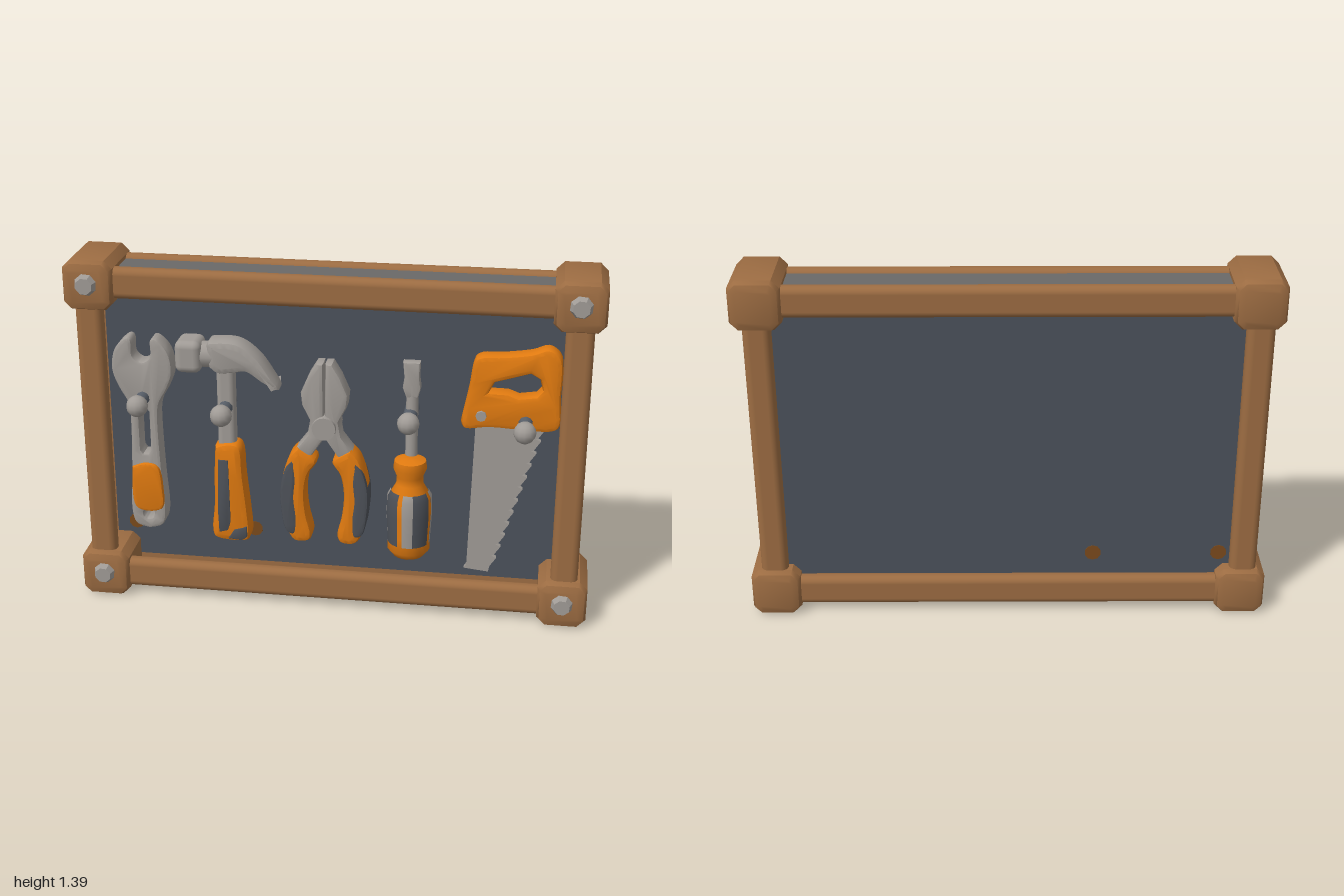
import * as THREE from 'three';
import { toCreasedNormals } from 'three/addons/utils/BufferGeometryUtils.js';
import { RoundedBoxGeometry } from 'three/addons/geometries/RoundedBoxGeometry.js';

const mat = (name, color) => {
  const m = new THREE.MeshStandardMaterial({ color });
  m.name = name;
  return m;
};

export function createModel() {
  const wood = mat('wood', 0x9c6c42);
  const slate = mat('slate panel', 0x4b515b);
  const steel = mat('steel', 0xa09b96);
  const orange = mat('orange grip', 0xe07a10);
  const rubber = mat('grey rubber', 0x4d5158);
  const pegGrey = mat('peg grey', 0x59606a);
  const plateGrey = mat('plate grey', 0x6a6968);
  const spotBrown = mat('brown spot', 0x7a4a1c);

  const root = new THREE.Group();
  root.name = 'toolBoard';
  const board = new THREE.Group();
  board.name = 'board';
  board.rotation.y = -0.025;
  root.add(board);

  const group = (name) => {
    const g = new THREE.Group();
    g.name = name;
    board.add(g);
    return g;
  };
  const add = (parent, name, geo, material, x = 0, y = 0, z = 0) => {
    const m = new THREE.Mesh(geo, material);
    m.name = name;
    m.position.set(x, y, z);
    parent.add(m);
    return m;
  };
  const vecs = (pts) => pts.map(([x, y]) => new THREE.Vector2(x, y));
  const poly = (pts) => new THREE.Shape(vecs(pts));
  const smooth = (pts, n = 40) =>
    new THREE.Shape(new THREE.SplineCurve(vecs([...pts, pts[0]])).getPoints(n).slice(0, -1));
  // bevelled plate that keeps its outline and is centred on z
  const plate = (shape, depth, bevel = 0.015) => {
    const g = new THREE.ExtrudeGeometry(shape, {
      depth: depth - 2 * bevel, bevelEnabled: bevel > 0, bevelThickness: bevel,
      bevelSize: bevel, bevelOffset: -bevel, bevelSegments: 2, curveSegments: 12,
    });
    g.translate(0, 0, bevel - depth / 2);
    return toCreasedNormals(g, 0.75);
  };
  const cyl = (r0, r1, h, n = 16) => new THREE.CylinderGeometry(r0, r1, h, n).rotateX(Math.PI / 2);

  // Frame: two rectangles of rails joined by deep corner blocks
  const frame = group('frame');
  for (const z of [0.053, -0.13]) {
    for (const y of [0.09, 1.3]) add(frame, 'rail', new RoundedBoxGeometry(1.76, 0.12, 0.06, 4, 0.027), wood, 0, y, z);
    for (const x of [-0.914, 0.908]) add(frame, 'post', new RoundedBoxGeometry(0.104, 1.1, 0.065, 4, 0.028), wood, x, 0.695, z);
  }
  const c = 0.095, k = 0.065;
  const blockShape = poly([[-k, -c], [k, -c], [c, -k], [c, k], [k, c], [-k, c], [-c, k], [-c, -k]]);
  for (const x of [-0.905, 0.905]) for (const y of [0.095, 1.295]) {
    add(frame, 'cornerBlock', plate(blockShape, 0.31, 0.032), wood, x, y, -0.037);
    add(frame, 'cornerBolt', toCreasedNormals(cyl(0.032, 0.048, 0.036, 8), 0.3), steel, x, y + 0.01, 0.125).rotation.z = 0.3;
  }

  // Back panel in front of the rear posts, upper plate and spots on both faces of the panel
  add(board, 'backPanel', new THREE.BoxGeometry(1.8, 1.2, 0.022), slate, 0, 0.695, -0.104);
  add(board, 'upperPlate', new THREE.BoxGeometry(1.66, 0.02, 0.14), plateGrey, 0, 1.335, -0.04);
  for (const x of [-0.82, -0.33]) add(board, 'panelSpot', cyl(0.032, 0.032, 0.026, 10), spotBrown, x, 0.24, -0.104);

  // Pegs with ball heads
  for (const [x, y, tip] of [[-0.735, 0.83, 0.15], [-0.4, 0.83, 0.197], [0.303, 0.84, 0.195], [0.73, 0.83, 0.195]]) {
    const peg = group('peg');
    add(peg, 'pegShaft', cyl(0.027, 0.027, tip, 10), pegGrey, x, y, tip / 2 - 0.02);
    add(peg, 'pegHead', new THREE.SphereGeometry(0.042, 12, 8), steel, x, y, tip - 0.04);
  }

  // Wrench with open jaw, slot and hanging hole
  const wrench = group('wrench');
  const ws = smooth([[0, 0.27], [0.055, 0.29], [0.07, 0.36], [0.062, 0.5], [0.055, 0.7], [0.06, 0.8], [0.095, 0.87],
    [0.118, 0.94], [0.105, 1.02], [0.06, 1.07], [0.036, 1.06], [0.034, 1.0], [0, 0.975], [-0.034, 1.0], [-0.036, 1.06],
    [-0.06, 1.07], [-0.105, 1.02], [-0.118, 0.94], [-0.095, 0.87], [-0.06, 0.8], [-0.055, 0.7], [-0.062, 0.5],
    [-0.07, 0.36], [-0.055, 0.29]], 96);
  ws.holes.push(new THREE.Path(vecs([[-0.02, 0.61], [-0.02, 0.77], [-0.01, 0.785], [0.01, 0.785], [0.02, 0.77], [0.02, 0.61], [0.01, 0.595], [-0.01, 0.595]])));
  ws.holes.push(new THREE.Path().absarc(0, 0.335, 0.022, 0, Math.PI * 2, true));
  add(wrench, 'wrenchBody', plate(ws, 0.085, 0.012), steel, -0.735, 0, -0.015);
  const gripPts = [[-0.79, 0.54], [-0.735, 0.558], [-0.685, 0.54], [-0.672, 0.45], [-0.675, 0.37], [-0.73, 0.35], [-0.785, 0.37], [-0.795, 0.45]];
  add(wrench, 'wrenchGrip', plate(smooth(gripPts), 0.04, 0.01), orange, 0, 0, 0.02);

  // Hammer
  const hammer = group('hammer');
  add(hammer, 'hammerShaft', new RoundedBoxGeometry(0.07, 0.36, 0.06, 3, 0.022), steel, -0.4, 0.83, 0.045);
  add(hammer, 'hammerFace', new RoundedBoxGeometry(0.1, 0.126, 0.126, 3, 0.028), steel, -0.53, 1.04, 0.066);
  add(hammer, 'hammerNeck', new THREE.CylinderGeometry(0.05, 0.05, 0.08, 12).rotateZ(Math.PI / 2), steel, -0.46, 1.04, 0.066);
  add(hammer, 'hammerClaw', plate(smooth([[-0.455, 1.0], [-0.46, 1.09], [-0.42, 1.105], [-0.34, 1.1], [-0.27, 1.05],
    [-0.22, 0.98], [-0.19, 0.92], [-0.25, 0.945], [-0.31, 0.985], [-0.36, 0.98], [-0.42, 0.975]], 50), 0.11, 0.025), steel, 0, 0, 0.062);
  add(hammer, 'hammerGrip', plate(smooth([[-0.445, 0.67], [-0.4, 0.685], [-0.345, 0.67], [-0.335, 0.55], [-0.32, 0.4],
    [-0.315, 0.3], [-0.34, 0.27], [-0.44, 0.275], [-0.465, 0.31], [-0.455, 0.42], [-0.452, 0.55]]), 0.1, 0.025), orange, 0, 0, 0.045);
  add(hammer, 'hammerGripPad', plate(poly([[-0.432, 0.62], [-0.392, 0.62], [-0.388, 0.36], [-0.4, 0.32], [-0.435, 0.31], [-0.438, 0.4]]), 0.106, 0.004), rubber, 0, 0, 0.045);
  add(hammer, 'hammerGripEnd', plate(poly([[-0.40, 0.285], [-0.375, 0.325], [-0.325, 0.34], [-0.325, 0.295], [-0.345, 0.28]]), 0.106, 0.004), rubber, 0, 0, 0.045);

  // Pliers, mirrored about the pivot
  const pliers = group('pliers');
  pliers.position.set(-0.02, 0, 0.05);
  for (const s of [-1, 1]) {
    const side = (pts) => pts.map(([x, y]) => [x * s, y]);
    add(pliers, 'plierJaw', plate(poly(side([[0.004, 1.03], [0.03, 1.03], [0.06, 0.98], [0.09, 0.91], [0.085, 0.86], [0.055, 0.8],
      [0.065, 0.74], [0.11, 0.68], [0.06, 0.64], [0, 0.73], [0.002, 0.9]])), 0.085), steel);
    add(pliers, 'plierHandle', plate(smooth(side([[0.1, 0.69], [0.135, 0.65], [0.165, 0.55], [0.167, 0.45], [0.15, 0.35], [0.12, 0.295],
      [0.065, 0.295], [0.05, 0.33], [0.068, 0.41], [0.075, 0.5], [0.062, 0.58], [0.03, 0.64]])), 0.106, 0.022), orange);
    add(pliers, 'plierPad', plate(smooth(side([[0.12, 0.64], [0.15, 0.6], [0.169, 0.52], [0.168, 0.44], [0.152, 0.345], [0.115, 0.33],
      [0.108, 0.4], [0.116, 0.48], [0.11, 0.56]])), 0.112, 0.01), rubber);
  }
  add(pliers, 'plierPivot', toCreasedNormals(cyl(0.045, 0.058, 0.11), 0.6), steel, 0, 0.775, 0);

  // Screwdriver
  const driver = group('screwdriver');
  driver.position.set(0.308, 0, 0.088);
  const profile = vecs([[0, 0.27], [0.06, 0.272], [0.082, 0.3], [0.078, 0.36], [0.083, 0.45], [0.08, 0.52], [0.052, 0.57],
    [0.05, 0.6], [0.064, 0.635], [0.06, 0.665], [0.03, 0.675], [0, 0.675]]);
  add(driver, 'driverHandle', toCreasedNormals(new THREE.LatheGeometry(profile, 20), 0.9), orange);
  const padProfile = vecs([[0.081, 0.33], [0.083, 0.37], [0.087, 0.45], [0.085, 0.52], [0.072, 0.545]]);
  for (let i = 0; i < 4; i++) {
    const a = i * Math.PI / 2;
    add(driver, 'driverPad', new THREE.LatheGeometry(padProfile, 6, a + 0.25, 0.85), rubber);
    add(driver, 'driverStripe', new THREE.LatheGeometry(padProfile, 4, a - 0.25, 0.5), steel);
  }
  add(driver, 'driverShaft', new THREE.CylinderGeometry(0.023, 0.023, 0.3, 12), steel, 0, 0.81, -0.03);
  add(driver, 'driverBlade', plate(poly([[-0.022, 0.91], [-0.036, 0.95], [-0.03, 0.99], [-0.036, 1.05], [0.028, 1.05],
    [0.026, 0.99], [0.032, 0.95], [0.022, 0.91]]), 0.045, 0.008), steel, 0, 0, -0.03);

  // Saw with a toothed blade
  const saw = group('saw');
  saw.position.z = 0.025;
  const blade = [[0.545, 0.83], [0.53, 0.21], [0.52, 0.195], [0.615, 0.185]];
  const teeth = 12;
  for (let i = 0; i < teeth; i++) {
    const t = i / teeth, x = 0.62 + 0.175 * t, y = 0.21 + 0.6 * t;
    blade.push([x, y], [x + 0.024, y + 0.036], [x + 0.004, y + 0.046]);
  }
  blade.push([0.795, 0.83]);
  add(saw, 'sawBlade', plate(poly(blade), 0.022, 0), steel);
  const handle = smooth([[0.49, 0.82], [0.51, 0.79], [0.6, 0.8], [0.72, 0.795], [0.825, 0.795], [0.858, 0.83], [0.853, 0.92],
    [0.856, 1.03], [0.845, 1.09], [0.8, 1.12], [0.74, 1.1], [0.64, 1.085], [0.56, 1.08], [0.53, 1.05], [0.515, 0.95]], 60);
  handle.holes.push(new THREE.Path(vecs([[0.59, 0.94], [0.61, 0.98], [0.66, 0.995], [0.74, 1.02], [0.775, 1.0],
    [0.785, 0.96], [0.765, 0.935], [0.7, 0.925], [0.66, 0.94]])));
  add(saw, 'sawHandle', plate(handle, 0.08, 0.018), orange);
  add(saw, 'sawRivet', cyl(0.02, 0.028, 0.1, 8), steel, 0.565, 0.85, 0);

  return root;
}
